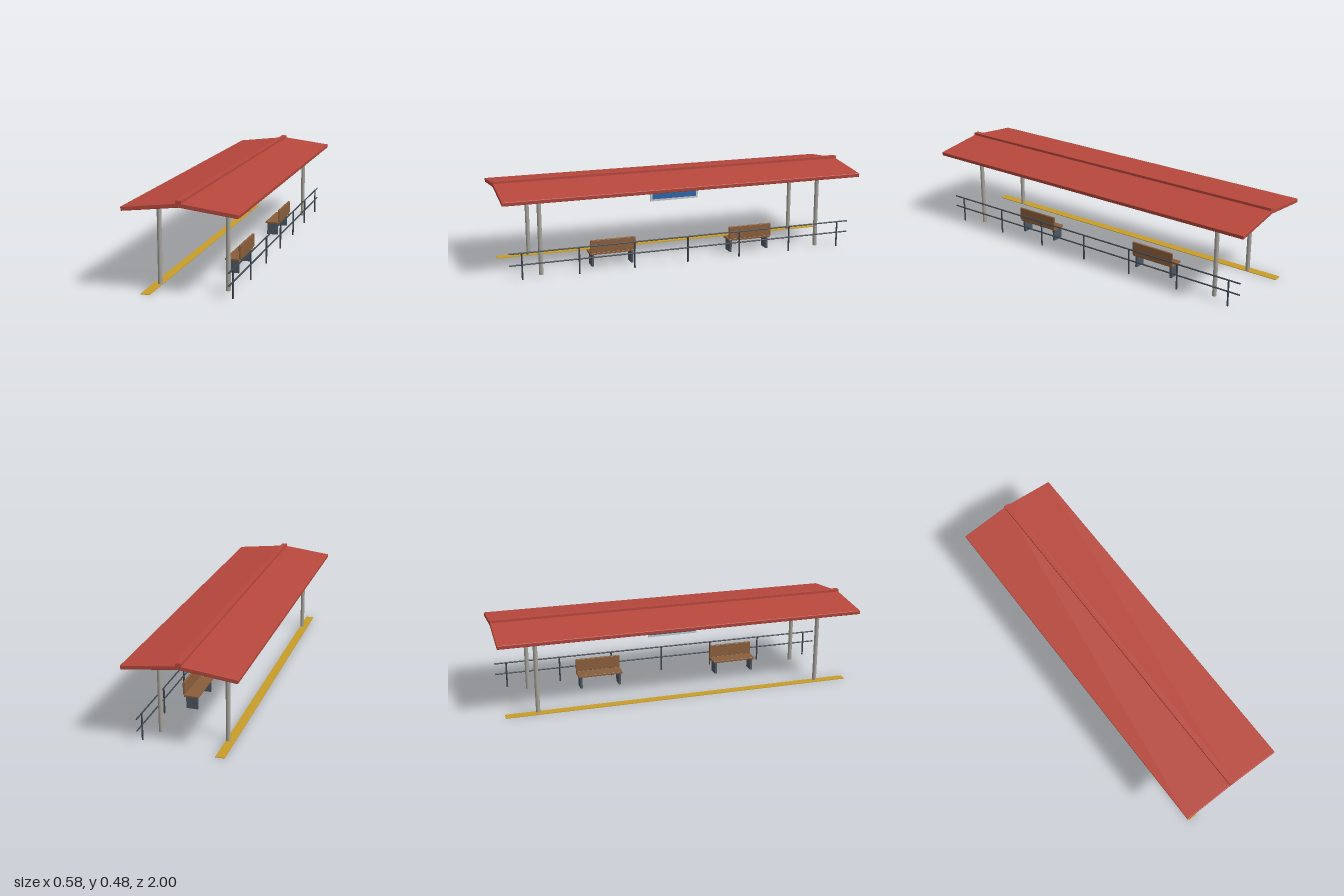
import * as THREE from 'three';
import { RoundedBoxGeometry } from 'three/addons/geometries/RoundedBoxGeometry.js';

const material = (name, color) => {
  const m = new THREE.MeshStandardMaterial({ color });
  m.name = name;
  return m;
};

export function createModel() {
  const model = new THREE.Group();
  model.name = 'platformShelter';

  const roofRed = material('roofRed', 0xb8483d);
  const columnGrey = material('columnGrey', 0xa5a29a);
  const wood = material('wood', 0x8a5e3b);
  const legGrey = material('legGrey', 0x4d5762);
  const railGrey = material('railGrey', 0x3d4650);
  const frameGrey = material('frameGrey', 0xc3c6c8);
  const signBlue = material('signBlue', 0x2c66a6);
  const yellow = material('yellow', 0xc79d28);

  const add = (name, geometry, mat, x, y, z, parent = model) => {
    const mesh = new THREE.Mesh(geometry, mat);
    mesh.name = name;
    mesh.position.set(x, y, z);
    parent.add(mesh);
    return mesh;
  };
  const box = (w, h, d) => new THREE.BoxGeometry(w, h, d);
  const rounded = (w, h, d, r) => new RoundedBoxGeometry(w, h, d, 2, r);
  const rod = (r, h, n = 10) => new THREE.CylinderGeometry(r, r, h, n);

  // Pitched roof with a ridge cap
  const slope = 0.119;
  for (const s of [-1, 1]) {
    const slab = add('roofSlab', rounded(0.291, 0.021, 2, 0.003), roofRed, s * 0.1435, 0.4375, 0);
    slab.rotation.z = -s * slope;
  }
  add('ridgeCap', box(0.03, 0.022, 2), roofRed, -0.001, 0.466, 0);

  // Columns
  for (const x of [-0.176, 0.174])
    for (const z of [-0.795, 0.795])
      add('column', rod(0.0115, 0.414, 16), columnGrey, x, 0.207, z);

  // Hanging sign with a blue panel on each face
  const sign = new THREE.Group();
  sign.name = 'hangingSign';
  model.add(sign);
  add('signFrame', box(0.009, 0.095, 0.28), frameGrey, -0.001, 0.3425, 0, sign);
  for (const s of [-1, 1]) {
    add('signPanel', box(0.002, 0.073, 0.256), signBlue, -0.001 + s * 0.005, 0.343, 0, sign);
    add('signHanger', rod(0.0025, 0.06, 8), railGrey, -0.001, 0.418, s * 0.11, sign);
  }

  // Benches
  for (const z of [-0.398, 0.398]) {
    const bench = new THREE.Group();
    bench.name = 'bench';
    bench.position.z = z;
    model.add(bench);
    add('seat', rounded(0.079, 0.011, 0.252, 0.002), wood, 0.1105, 0.0725, 0, bench);
    add('backrest', rounded(0.012, 0.07, 0.252, 0.002), wood, 0.15, 0.115, 0, bench);
    for (const s of [-1, 1])
      add('benchLeg', box(0.063, 0.068, 0.012), legGrey, 0.11, 0.034, s * 0.11, bench);
  }

  // Railing: seven posts and two long rails
  const railing = new THREE.Group();
  railing.name = 'railing';
  railing.position.x = 0.23;
  model.add(railing);
  for (let i = -3; i <= 3; i++)
    add('railingPost', rod(0.0045, 0.145), railGrey, 0, 0.0725, i * 0.301, railing);
  for (const y of [0.081, 0.1435]) {
    const rail = add('rail', rod(0.004, 1.936), railGrey, 0, y, 0, railing);
    rail.rotation.x = Math.PI / 2;
  }

  // Safety line along the platform edge
  add('safetyLine', box(0.047, 0.003, 1.936), yellow, -0.188, 0.0015, 0);

  return model;
}
